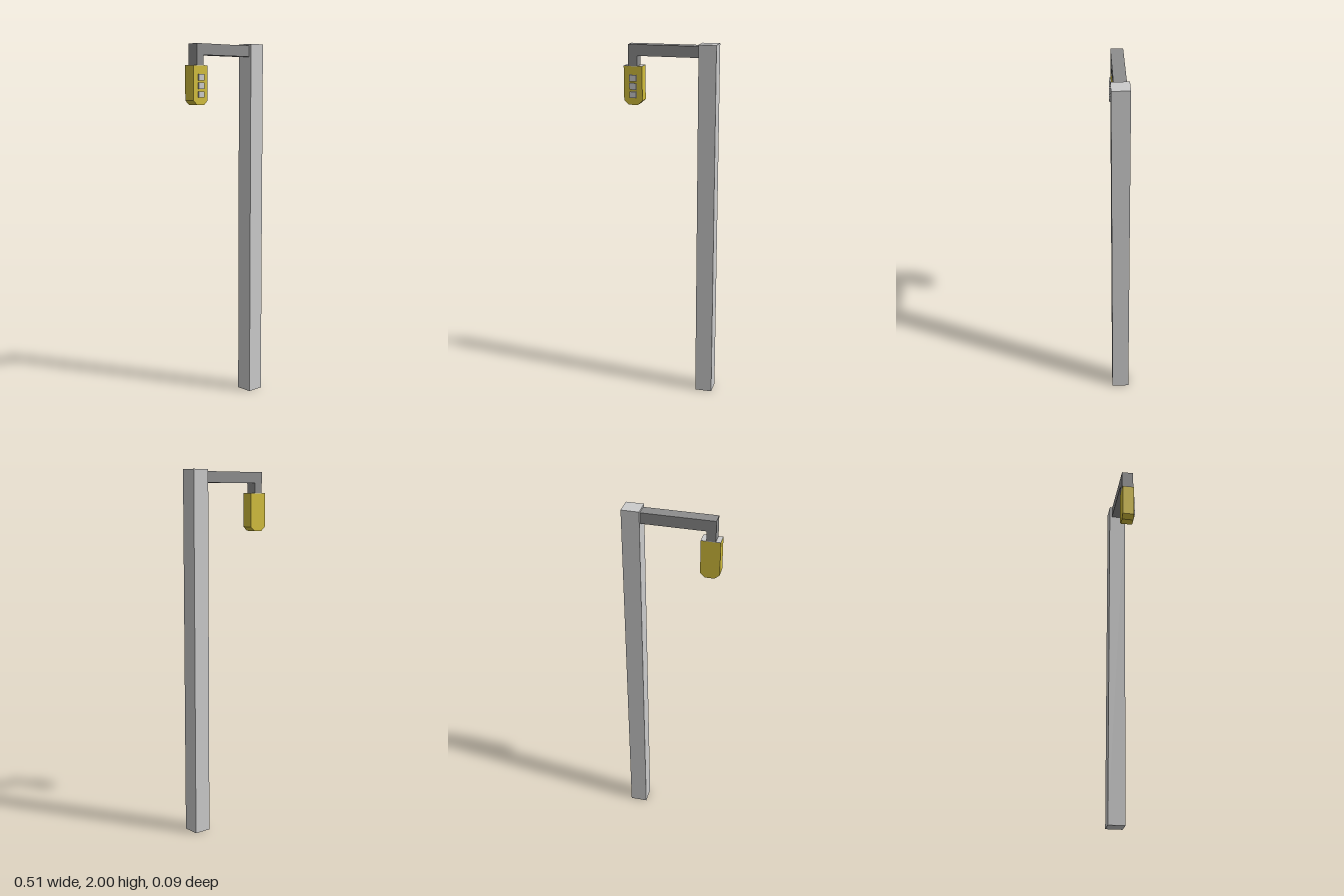
import * as THREE from 'three';

const material = (color) => new THREE.MeshStandardMaterial({ color, flatShading: true });

export function createModel() {
  const model = new THREE.Group();
  const grey = material(0xcccccc);
  const darkGrey = material(0x8d8d8d);
  const yellow = material(0xd3be3c);

  const add = (name, geometry, mat) => {
    const mesh = new THREE.Mesh(geometry, mat);
    mesh.name = name;
    model.add(mesh);
  };
  // box given by its lower and upper corners
  const box = (name, [x0, y0, z0], [x1, y1, z1], mat) =>
    add(name, new THREE.BoxGeometry(x1 - x0, y1 - y0, z1 - z0)
      .translate((x0 + x1) / 2, (y0 + y1) / 2, (z0 + z1) / 2), mat);
  // flat outline in x, y pushed through the depth of the arm
  const back = -0.034, front = 0.032;
  const plate = (name, points, mat) => {
    const shape = new THREE.Shape(points.map(([x, y]) => new THREE.Vector2(x, y)));
    add(name, new THREE.ExtrudeGeometry(shape, { depth: front - back, bevelEnabled: false })
      .translate(0, 0, back), mat);
  };

  // square post
  box('post', [0.159, 0, -0.0475], [0.254, 2, 0.0475], grey);

  // arm with a short drop at its end
  plate('arm', [[-0.229, 1.876], [-0.18, 1.876], [-0.18, 1.93], [0.159, 1.93],
    [0.159, 1.99], [-0.229, 1.99]], darkGrey);

  // signal housing with cut lower corners and a grey lid
  const left = -0.254, right = -0.152, lidBottom = 1.874;
  plate('housing', [[-0.228, 1.667], [-0.178, 1.667], [right, 1.69], [right, lidBottom],
    [left, lidBottom], [left, 1.69]], yellow);
  box('housingLid', [left, lidBottom, back], [right, 1.876, front], grey);

  // three square lamps
  for (let i = 0; i < 3; i++) {
    const y = 1.812 - i * 0.045;
    box('lamp' + (i + 1), [-0.222, y - 0.017, front - 0.005], [-0.184, y + 0.017, 0.041], grey);
  }
  return model;
}
